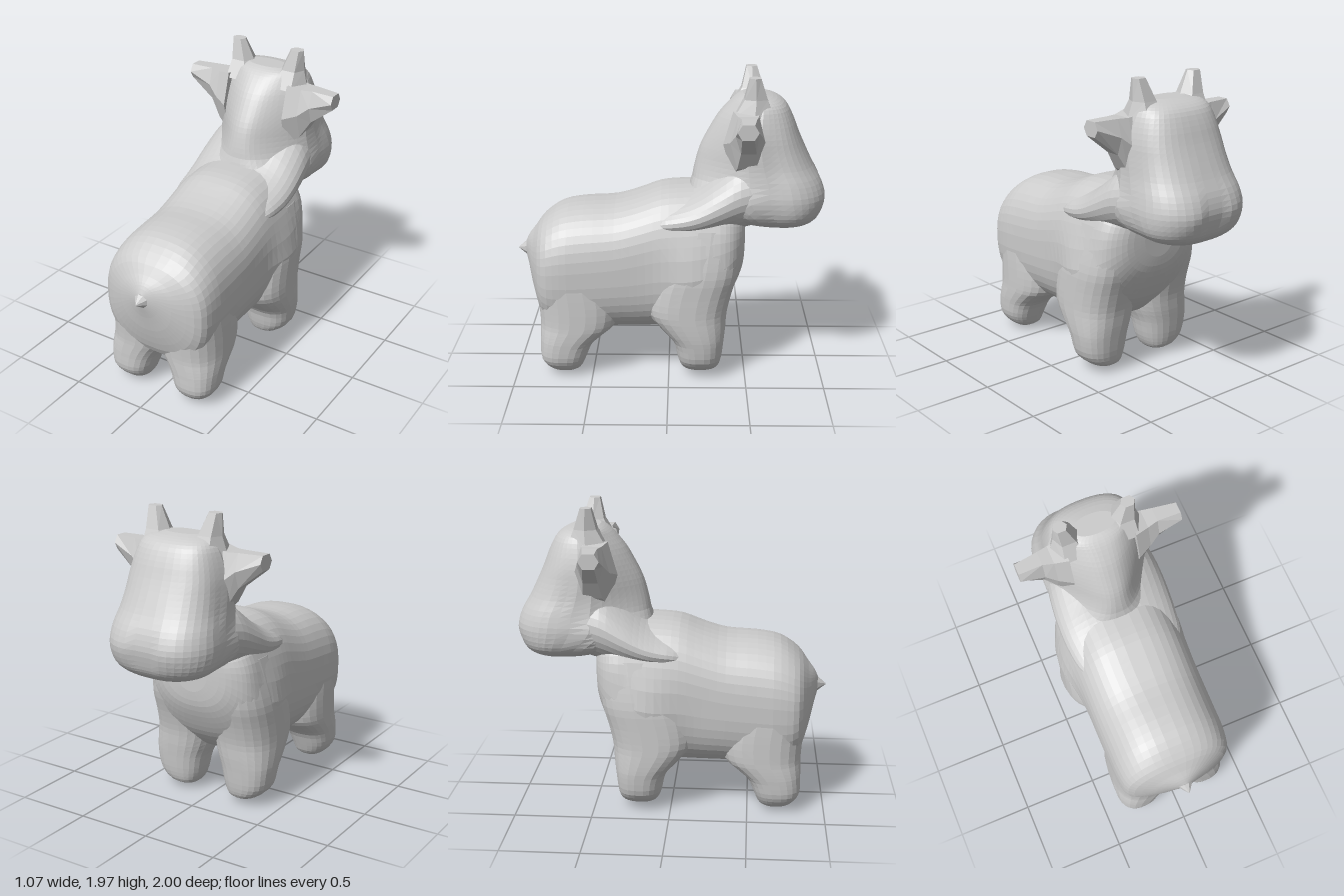
import * as THREE from 'three';

const material = new THREE.MeshStandardMaterial({ color: 0xcccccc, flatShading: true });

// Smooth the list of cross-sections with a Catmull-Rom spline
function refine(sections, steps) {
  const out = [], last = sections.length - 1;
  for (let i = 0; i < last; i++) {
    const [a, b, c, d] = [i - 1, i, i + 1, i + 2].map((k) => sections[Math.min(last, Math.max(0, k))]);
    for (let s = 0; s < steps; s++) {
      const t = s / steps;
      out.push(b.map((v, k) => v + 0.5 * t * (c[k] - a[k]
        + t * (2 * a[k] - 5 * v + 4 * c[k] - d[k] + t * (3 * (v - c[k]) + d[k] - a[k])))));
    }
  }
  out.push(sections[last]);
  return out;
}

// Closed skin over superellipse sections [t, u0, u1, v0, v1, power, taper].
// place(t, u, v) gives the point in space; taper narrows v from the middle to u1.
function loft(name, sections, sides, steps, place) {
  const rings = refine(sections, steps), pos = [], index = [];
  const round = (x, p) => Math.sign(x) * Math.abs(x) ** (2 / p);
  for (const [t, u0, u1, v0, v1, power = 2.5, taper = 1] of rings) {
    for (let j = 0; j < sides; j++) {
      const a = ((j + 0.5) / sides) * Math.PI * 2;
      const cu = round(Math.cos(a), power);
      const cv = round(Math.sin(a), power) * (1 + (taper - 1) * Math.max(0, cu));
      pos.push(...place(t, (u0 + u1) / 2 + cu * (u1 - u0) / 2, (v0 + v1) / 2 + cv * (v1 - v0) / 2));
    }
  }
  const n = rings.length;
  for (const [t, u0, u1, v0, v1] of [rings[0], rings[n - 1]]) {
    pos.push(...place(t, (u0 + u1) / 2, (v0 + v1) / 2));
  }
  for (let j = 0; j < sides; j++) {
    const k = (j + 1) % sides, end = (n - 1) * sides;
    for (let i = 0; i < n - 1; i++) {
      const a = i * sides + j, b = i * sides + k;
      index.push(a, b, b + sides, a, b + sides, a + sides);
    }
    index.push(n * sides, k, j, n * sides + 1, end + j, end + k);
  }
  // Turn the faces outward if the enclosed volume is negative
  const corner = (i) => new THREE.Vector3().fromArray(pos, i * 3);
  let volume = 0;
  for (let i = 0; i < index.length; i += 3) {
    volume += corner(index[i]).dot(corner(index[i + 1]).cross(corner(index[i + 2])));
  }
  if (volume < 0) index.reverse();
  const geometry = new THREE.BufferGeometry();
  geometry.setAttribute('position', new THREE.Float32BufferAttribute(pos, 3));
  geometry.setIndex(index);
  geometry.computeVertexNormals();
  const mesh = new THREE.Mesh(geometry, material);
  mesh.name = name;
  return mesh;
}

const bump = (x, centre, width) => Math.exp(-(((x - centre) / width) ** 2));

export function createModel() {
  const model = new THREE.Group();
  model.name = 'calf';

  // Body: sections along z, from rump to chest [z, bottom, top, halfWidth, power]
  const body = [
    [0.95, 0.75, 0.84, 0.03, 2], [0.925, 0.66, 0.89, 0.11, 2], [0.885, 0.50, 0.94, 0.23, 2.2],
    [0.82, 0.34, 1.02, 0.355, 2.5], [0.70, 0.27, 1.10, 0.387, 2.5], [0.55, 0.26, 1.13, 0.39, 2.5],
    [0.35, 0.285, 1.14, 0.39, 2.6], [0.20, 0.29, 1.18, 0.388, 2.7], [0.05, 0.295, 1.235, 0.387, 2.7],
    [-0.10, 0.30, 1.25, 0.387, 2.7], [-0.25, 0.35, 1.25, 0.385, 2.7], [-0.36, 0.46, 1.22, 0.38, 2.6],
    [-0.43, 0.58, 1.17, 0.34, 2.5], [-0.48, 0.70, 1.12, 0.25, 2.3], [-0.495, 0.8, 1.05, 0.12, 2],
  ].map(([z, y0, y1, w, p]) => [z, y0, y1, -w, w, p]);
  // The shoulders swell above the front legs
  const shoulder = (y, z) => 1 + 0.14 * bump(z, -0.16, 0.2) * bump(Math.max(y, 0.7), 0.7, 0.2);
  model.add(loft('body', body, 44, 3, (z, y, x) => [x * shoulder(y, z), y, z]));

  // Neck: blends the back and chest into the head [z, bottom, top, halfWidth]
  const neck = [
    [0.15, 0.96, 1.10, 0.30], [0.02, 0.94, 1.17, 0.36], [-0.1, 0.93, 1.22, 0.38],
    [-0.2, 0.93, 1.28, 0.386], [-0.32, 0.94, 1.38, 0.384], [-0.45, 0.96, 1.48, 0.37],
    [-0.6, 1.0, 1.5, 0.34],
  ].map(([z, y0, y1, w]) => [z, y0, y1, -w, w, 2.1, 0.9]);
  model.add(loft('neck', neck, 36, 3, (z, y, x) => [x, y, z]));

  // Head: sections along y, from jaw to crown [y, face, nape, halfWidth, power, taper]
  const head = [
    [0.985, -0.81, -0.66, 0.10, 2, 1], [1.0, -0.89, -0.52, 0.21, 2.2, 1],
    [1.04, -0.95, -0.42, 0.31, 2.5, 1], [1.10, -0.99, -0.30, 0.365, 2.6, 0.95],
    [1.20, -1.015, -0.14, 0.387, 2.7, 0.75], [1.30, -0.985, -0.15, 0.375, 2.7, 0.5],
    [1.40, -0.925, -0.17, 0.358, 2.6, 0.42], [1.50, -0.875, -0.20, 0.35, 2.5, 0.42],
    [1.60, -0.83, -0.25, 0.34, 2.5, 0.45], [1.70, -0.79, -0.31, 0.315, 2.5, 0.5],
    [1.78, -0.745, -0.38, 0.28, 2.5, 0.6], [1.82, -0.685, -0.43, 0.23, 2.5, 0.8],
    [1.84, -0.61, -0.47, 0.14, 2.2, 1],
  ].map(([y, z0, z1, w, p, k]) => [y, z0, z1, -w, w, p, k]);
  // A shallow groove parts the muzzle in two lobes, and the cheeks narrow behind it
  const groove = (x, y, z) => (z < -0.8 ? 0.035 * bump(x, 0, 0.1) * bump(y, 1.17, 0.15) : 0);
  const cheek = (z) => 1 - 0.07 * bump(z, -0.64, 0.12);
  model.add(loft('head', head, 44, 3, (y, z, x) => [x * cheek(z), y, z + groove(x, y, z)]));

  // Tail stub
  model.add(loft('tail', [[0.87, 0.67, 0.93, -0.13, 0.13, 2], [0.93, 0.73, 0.855, -0.06, 0.06, 2],
    [1.0, 0.785, 0.795, -0.004, 0.004, 2]], 8, 1, (z, y, x) => [x, y, z]));

  // Paired parts
  const frontLeg = [ // [y, z0, z1, inner x, outer x]
    [0.03, -0.26, -0.14, 0.17, 0.27], [0.06, -0.32, -0.09, 0.13, 0.34], [0.13, -0.345, -0.06, 0.1, 0.41],
    [0.25, -0.36, -0.03, 0.075, 0.435], [0.34, -0.37, 0.05, 0.04, 0.442], [0.45, -0.38, 0.14, 0.01, 0.442],
    [0.58, -0.41, 0.14, 0.01, 0.44], [0.72, -0.45, 0.1, 0.02, 0.435], [0.88, -0.46, 0.05, 0.05, 0.405],
    [1.02, -0.44, -0.02, 0.1, 0.37],
  ];
  const backLeg = [
    [0.01, 0.65, 0.72, 0.19, 0.25], [0.05, 0.58, 0.79, 0.13, 0.33], [0.12, 0.545, 0.84, 0.1, 0.38],
    [0.22, 0.50, 0.845, 0.065, 0.392], [0.29, 0.42, 0.845, 0.02, 0.395], [0.36, 0.34, 0.845, -0.03, 0.395],
    [0.50, 0.32, 0.855, -0.05, 0.393], [0.66, 0.36, 0.865, -0.05, 0.386], [0.82, 0.44, 0.82, 0.0, 0.37],
  ];
  const ear = [ // [x, y0, y1, z0, z1]
    [0.22, 1.32, 1.79, -0.62, -0.34], [0.31, 1.40, 1.77, -0.6, -0.38],
    [0.38, 1.52, 1.765, -0.575, -0.41], [0.535, 1.65, 1.755, -0.545, -0.415],
  ];
  const horn = [ // [y, z0, z1, inner x, outer x]
    [1.73, -0.67, -0.39, 0.04, 0.30], [1.84, -0.62, -0.46, 0.11, 0.27], [1.975, -0.572, -0.495, 0.172, 0.265],
  ];
  for (const [side, s] of [['left', 1], ['right', -1]]) {
    const upright = (y, z, x) => [s * x, y, z];
    model.add(
      loft(side + 'FrontLeg', frontLeg, 24, 3, upright),
      loft(side + 'BackLeg', backLeg, 24, 3, upright),
      loft(side + 'Horn', horn, 6, 1, upright),
      loft(side + 'Ear', ear, 6, 1, (x, y, z) => [s * x, y, z]),
    );
  }
  return model;
}
